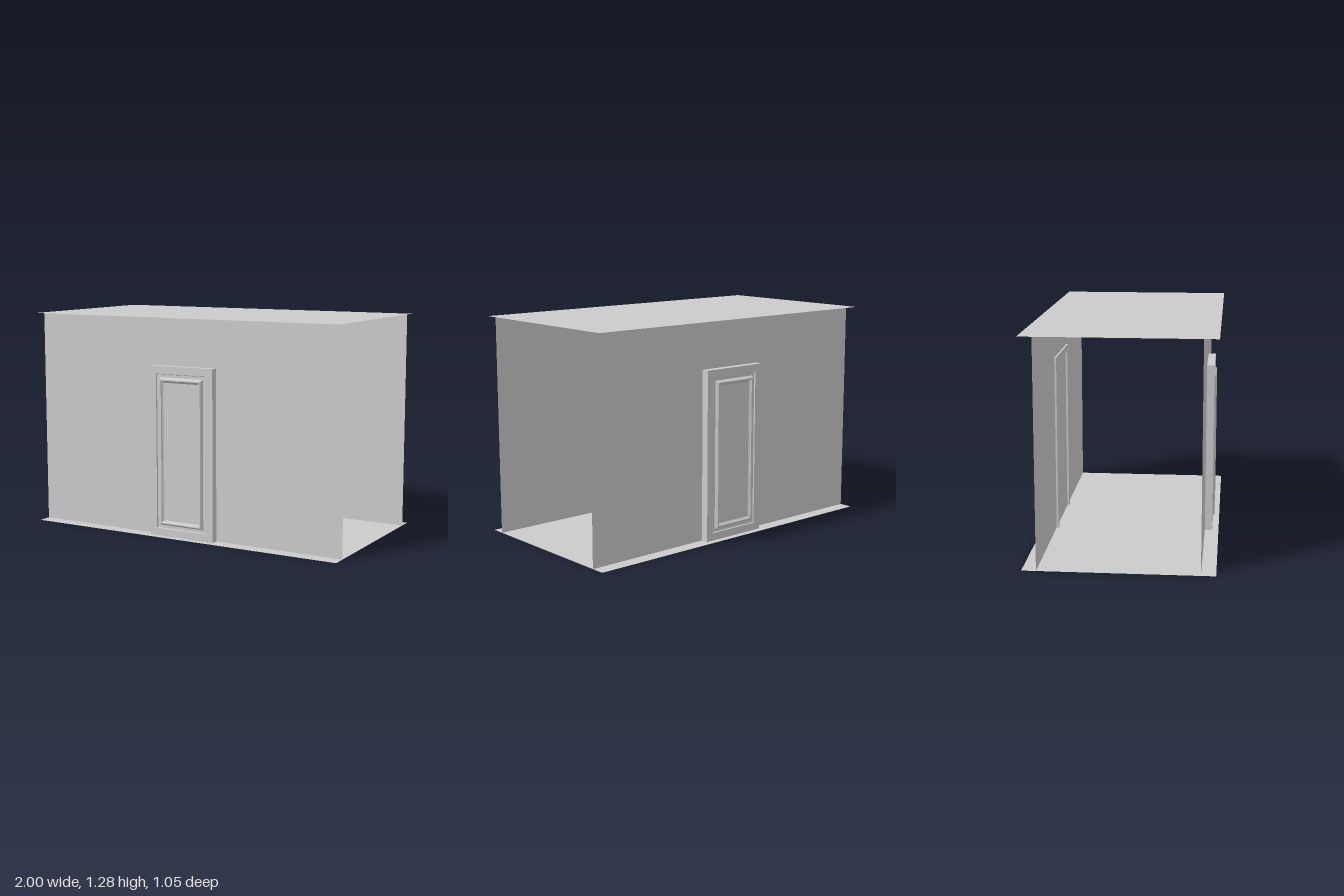
import * as THREE from 'three';

const HEIGHT = 1.28, DEPTH = 1.055, WALL_Z = 0.446;
const solid = new THREE.MeshStandardMaterial({ color: 0xcccccc });
const thin = new THREE.MeshStandardMaterial({ color: 0xcccccc, side: THREE.DoubleSide });

function add(parent, name, geometry, material = solid) {
  const mesh = new THREE.Mesh(geometry, material);
  mesh.name = name;
  parent.add(mesh);
  return mesh;
}

// Nested rectangles, each given as [inset, z], joined by flat strips and capped at the end
function insetPanel(width, height, steps) {
  const corners = steps.map(([inset, z]) => {
    const x = width / 2 - inset, low = inset, high = height - inset;
    return [[-x, low, z], [x, low, z], [x, high, z], [-x, high, z]];
  });
  const points = [];
  const quad = (a, b, c, d) => points.push(...a, ...b, ...c, ...a, ...c, ...d);
  for (let i = 0; i < corners.length - 1; i++) {
    const outer = corners[i], inner = corners[i + 1];
    for (let k = 0; k < 4; k++) {
      const n = (k + 1) % 4;
      quad(outer[k], outer[n], inner[n], inner[k]);
    }
  }
  quad(...corners[corners.length - 1]);
  const geometry = new THREE.BufferGeometry();
  geometry.setAttribute('position', new THREE.Float32BufferAttribute(points, 3));
  geometry.computeVertexNormals();
  return geometry;
}

// One long side: wall, moulded door outside, door casing inside
function createSide(name) {
  const side = new THREE.Group();
  side.name = name;
  add(side, 'wall', new THREE.PlaneGeometry(2, HEIGHT), thin)
    .position.set(0, HEIGHT / 2, WALL_Z);

  add(side, 'door', insetPanel(0.42, 1, [
    [0, WALL_Z], [0, 0.49], [0.045, 0.49], [0.048, 0.483], [0.065, 0.483],
    [0.069, 0.491], [0.076, 0.5], [0.083, 0.5], [0.087, 0.494], [0.095, 0.488],
  ]), thin);

  const casing = new THREE.Shape([
    [-0.25, 0], [-0.21, 0], [-0.21, 1], [0.21, 1],
    [0.21, 0], [0.25, 0], [0.25, 1.04], [-0.25, 1.04],
  ].map(([x, y]) => new THREE.Vector2(x, y)));
  add(side, 'doorCasing', new THREE.ExtrudeGeometry(casing, { depth: 0.011, bevelEnabled: false }))
    .position.z = 0.434;
  return side;
}

export function createModel() {
  const model = new THREE.Group();
  model.name = 'corridor';

  // Floor and ceiling sheets
  for (const [name, y] of [['floor', 0], ['ceiling', HEIGHT]]) {
    const sheet = add(model, name, new THREE.PlaneGeometry(2, DEPTH), thin);
    sheet.rotation.x = -Math.PI / 2;
    sheet.position.y = y;
  }

  // Matching long sides
  const front = createSide('frontSide');
  const back = createSide('backSide');
  back.rotation.y = Math.PI;
  model.add(front, back);

  // Shallow round ceiling lamp
  const profile = [
    [0, 1.236], [0.045, 1.236], [0.07, 1.24], [0.088, 1.248], [0.1, 1.262],
    [0.104, 1.268], [0.113, 1.271], [0.115, 1.279],
  ].map(([r, y]) => new THREE.Vector2(r, y));
  add(model, 'ceilingLamp', new THREE.LatheGeometry(profile, 40), thin);

  return model;
}
